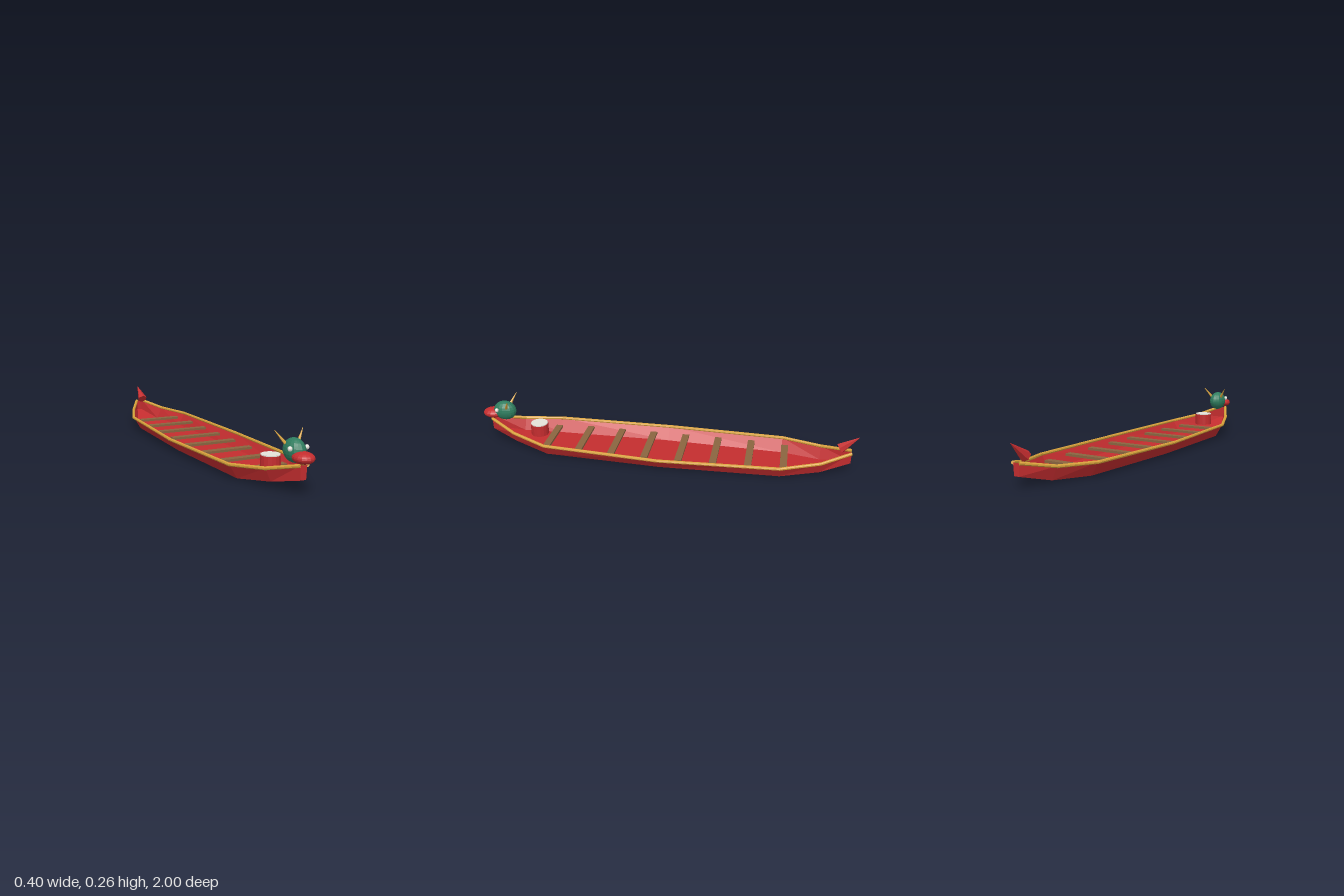
import * as THREE from 'three';

const mat = (name, color, extra = {}) => {
  const m = new THREE.MeshStandardMaterial({ color, flatShading: true, ...extra });
  m.name = name;
  return m;
};

// Hull stations: z, gunwale half width, gunwale y, floor half width, floor y
const STATIONS = [
  [0.95, 0.017, 0.13, 0.013, 0.067],
  [0.8, 0.093, 0.092, 0.065, 0.03],
  [0.61, 0.165, 0.072, 0.125, 0.003],
  [0, 0.191, 0.063, 0.145, 0],
  [-0.62, 0.165, 0.068, 0.125, 0.001],
  [-0.82, 0.093, 0.077, 0.065, 0.012],
  [-0.97, 0.017, 0.108, 0.013, 0.05],
];

function hullGeometry() {
  const pos = [], idx = [];
  STATIONS.forEach(([z, tw, ty, bw, by], i) => {
    pos.push(tw, ty, z, bw, by, z, -bw, by, z, -tw, ty, z);
    if (i === 0) return;
    const a = (i - 1) * 4, b = i * 4;
    for (let k = 0; k < 3; k++) idx.push(a + k, a + k + 1, b + k, a + k + 1, b + k + 1, b + k);
  });
  // flat bow and stern plates
  const e = (STATIONS.length - 1) * 4;
  idx.push(0, 3, 2, 0, 2, 1, e, e + 1, e + 2, e, e + 2, e + 3);
  const g = new THREE.BufferGeometry();
  g.setAttribute('position', new THREE.Float32BufferAttribute(pos, 3));
  g.setIndex(idx);
  const flat = g.toNonIndexed();
  flat.computeVertexNormals();
  return flat;
}

// Round bar from a to b, tapering from r0 to r1
function bar(a, b, r0, r1, sides) {
  const dir = b.clone().sub(a);
  const g = new THREE.CylinderGeometry(r1, r0, dir.length(), sides);
  g.applyQuaternion(new THREE.Quaternion().setFromUnitVectors(new THREE.Vector3(0, 1, 0), dir.normalize()));
  g.translate((a.x + b.x) / 2, (a.y + b.y) / 2, (a.z + b.z) / 2);
  return g;
}

export function createModel() {
  const root = new THREE.Group();
  root.name = 'dragonBoat';
  const hullRed = mat('hull red', 0xc42d2f, { side: THREE.DoubleSide });
  const gold = mat('gold', 0xd6a03a);
  const wood = mat('bench wood', 0x8a6540);
  const green = mat('head green', 0x2f7d5f);
  const white = mat('off white', 0xe4e2da);
  const V = (x, y, z) => new THREE.Vector3(x, y, z);
  const add = (name, geo, m, parent = root) => {
    const mesh = new THREE.Mesh(geo, m);
    mesh.name = name;
    parent.add(mesh);
    return mesh;
  };
  const ball = (name, m, p, s, parent, w = 16, h = 12) => {
    const mesh = add(name, new THREE.SphereGeometry(1, w, h), m, parent);
    mesh.position.copy(p);
    mesh.scale.copy(s);
  };

  add('hull', hullGeometry(), hullRed);

  // Gunwale rails in straight lengths, with knuckles at the bends
  for (const s of [1, -1]) {
    const rail = new THREE.Group();
    rail.name = s > 0 ? 'leftRail' : 'rightRail';
    root.add(rail);
    const pts = STATIONS.map(([z, w, y]) => V(s * (w + 0.001), y, z));
    pts.forEach((p, i) => {
      if (i === 0) return;
      add('railLength', bar(pts[i - 1], p, 0.0085, 0.0085, 8), gold, rail);
      if (i < pts.length - 1) ball('railKnuckle', gold, p, V(0.0085, 0.0085, 0.0085), rail, 8, 6);
    });
  }

  // Rowing benches
  for (let i = 0; i < 8; i++) {
    const width = i === 0 || i === 7 ? 0.24 : 0.28;
    const bench = add('bench', new THREE.BoxGeometry(width, 0.012, 0.036), wood);
    bench.position.set(0, 0.044, -0.635 + i * 0.1786);
  }

  // Drum with pale skin
  const drum = new THREE.Group();
  drum.name = 'drum';
  drum.position.set(0, 0, 0.687);
  root.add(drum);
  add('drumBody', new THREE.CylinderGeometry(0.047, 0.047, 0.06, 16), hullRed, drum).position.y = 0.086;
  add('drumSkin', new THREE.CylinderGeometry(0.045, 0.045, 0.005, 16), white, drum).position.y = 0.1185;

  // Figurehead
  const head = new THREE.Group();
  head.name = 'figurehead';
  root.add(head);
  ball('skull', green, V(0, 0.179, 0.877), V(0.044, 0.053, 0.062), head);
  ball('snout', hullRed, V(0, 0.161, 0.945), V(0.046, 0.026, 0.055), head);
  for (const s of [1, -1]) {
    ball('eye', white, V(s * 0.041, 0.194, 0.907), V(0.0105, 0.0115, 0.0105), head, 10, 8);
    add('horn', bar(V(s * 0.031, 0.205, 0.857), V(s * 0.07, 0.26, 0.83), 0.008, 0.001, 6), gold, head);
  }

  // Upswept tail
  add('tail', bar(V(0, 0.126, -0.912), V(0, 0.195, -1), 0.028, 0.001, 6), hullRed);
  return root;
}
